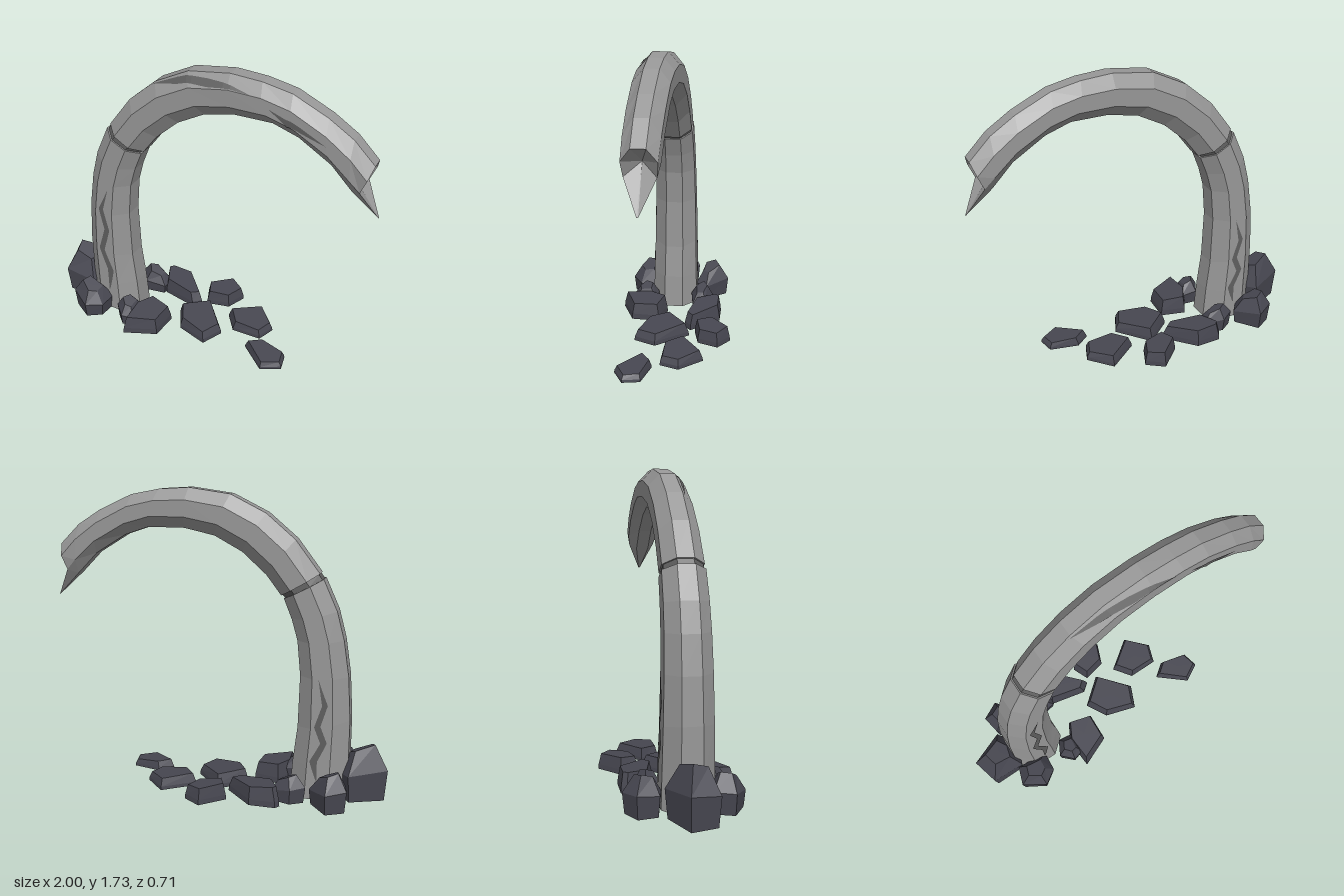
import * as THREE from 'three';

const stone = new THREE.MeshStandardMaterial({ color: 0x979797, flatShading: true });
stone.name = 'grey stone';
const crackMat = new THREE.MeshStandardMaterial({ color: 0x5e5e5e, flatShading: true, side: THREE.DoubleSide });
crackMat.name = 'crack grey';
const rockMat = new THREE.MeshStandardMaterial({ color: 0x474751, flatShading: true });
rockMat.name = 'dark rock';

const V = (x, y, z) => new THREE.Vector3(x, y, z);
const CZ = 0.033; // depth centre of the arch

function makeMesh(name, points, material) {
  const geometry = new THREE.BufferGeometry().setFromPoints(points);
  geometry.computeVertexNormals();
  const mesh = new THREE.Mesh(geometry, material);
  mesh.name = name;
  return mesh;
}

const centre = (ring) => ring.reduce((sum, p) => sum.add(p), V(0, 0, 0)).divideScalar(ring.length);

// Skin a list of rings and close both ends with fans
function loft(name, rings, material, endPoint) {
  const tris = [];
  const n = rings[0].length;
  const first = rings[0], last = rings[rings.length - 1];
  const c0 = centre(first), c1 = endPoint || centre(last);
  for (let k = 0; k < n; k++) {
    const j = (k + 1) % n;
    for (let i = 0; i < rings.length - 1; i++) {
      const [a, b, c, d] = [rings[i][k], rings[i][j], rings[i + 1][j], rings[i + 1][k]];
      tris.push(a, b, c, a, c, d);
    }
    tris.push(c0, first[j], first[k], c1, last[k], last[j]);
  }
  return makeMesh(name, tris, material);
}

// Octagonal section from its outer and inner edge points and half depth
const T = Math.SQRT2 - 1;
const OCT = [[1, T], [T, 1], [-T, 1], [-1, T], [-1, -T], [-T, -1], [T, -1], [1, -T]];
function octagon([ox, oy, ix, iy], hz, scale = 1) {
  const mx = (ox + ix) / 2, my = (oy + iy) / 2;
  const nx = (ox - ix) / 2 * scale, ny = (oy - iy) / 2 * scale;
  return OCT.map(([n, z]) => V(mx + n * nx, my + n * ny, CZ + z * hz * scale));
}

// Point on a lofted skin: s runs along the sections, k around the ring
function onSkin(rings, s, k) {
  const i = Math.min(Math.floor(s), rings.length - 2);
  const j = Math.floor(k);
  const along = (r) => r[j % 8].clone().lerp(r[(j + 1) % 8], k - j);
  const p = along(rings[i]).lerp(along(rings[i + 1]), s - i);
  const c = centre(rings[i]).lerp(centre(rings[i + 1]), s - i);
  return p.add(p.clone().sub(c).normalize().multiplyScalar(0.005));
}

// Thin crack lying on the skin; path entries are [s, k, half width]
function crack(name, rings, path) {
  const tris = [], steps = 6;
  let prev = null;
  for (let i = 0; i < path.length - 1; i++) {
    for (let q = i ? 1 : 0; q <= steps; q++) {
      const [s, k, w] = path[i].map((v, d) => v + (path[i + 1][d] - v) * q / steps);
      const cur = [onSkin(rings, s, k - w), onSkin(rings, s, k + w)];
      if (prev) tris.push(prev[0], prev[1], cur[1], prev[0], cur[1], cur[0]);
      prev = cur;
    }
  }
  return makeMesh(name, tris, crackMat);
}

// Rock from a footprint listed counter-clockwise as seen from above
function rock(name, outline, height, tall) {
  const base = outline.map(([x, z]) => V(x, 0, z));
  const c = centre(base);
  const ring = (scale, y, tilt) => base.map((p) => {
    const d = p.clone().sub(c);
    return V(c.x + d.x * scale, y - tilt * (d.x + 0.5 * d.z), c.z + d.z * scale);
  });
  const rings = tall
    ? [ring(0.9, 0, 0), ring(1, height * 0.5, 0.15), ring(0.5, height * 0.92, 0.2)]
    : [ring(1, 0, 0), ring(0.98, height * 0.3, 0), ring(0.85, height * 0.94, 0.06)];
  return loft(name, rings, rockMat);
}

export function createModel() {
  const model = new THREE.Group();
  model.name = 'brokenStoneArch';

  // Sections as outer x, y, inner x, y
  const columnPairs = [
    [-0.78, 0, -0.445, 0], [-0.778, 0.2, -0.46, 0.2], [-0.778, 0.46, -0.483, 0.4],
    [-0.762, 0.71, -0.49, 0.7], [-0.73, 0.915, -0.47, 0.9],
    [-0.687, 1.075, -0.435, 1.02], [-0.607, 1.25, -0.388, 1.134],
  ];
  const archPairs = [
    [-0.586, 1.278, -0.372, 1.15], [-0.447, 1.46, -0.286, 1.262], [-0.281, 1.6, -0.147, 1.385],
    [-0.078, 1.7, 0.013, 1.47], [0.163, 1.733, 0.19, 1.508], [0.34, 1.722, 0.404, 1.508],
    [0.505, 1.69, 0.548, 1.46], [0.7, 1.6, 0.73, 1.348], [0.837, 1.513, 0.85, 1.225],
  ];
  const column = columnPairs.map((p) => octagon(p, 0.142 - 0.011 * (p[1] + p[3])));
  const arch = archPairs.map((p, i) => octagon(p, 0.112 - 0.0025 * i));

  // Broken tip: one side of the ring, mirrored in depth
  const tip = [[0.955, 1.396, 0.037], [0.935, 1.33, 0.088], [0.902, 1.25, 0.08], [0.995, 1.085, 0.004]];
  arch.push([
    ...tip.map(([x, y, z]) => V(x, y, CZ + z)),
    ...tip.slice().reverse().map(([x, y, z]) => V(x, y, CZ - z)),
  ]);

  model.add(loft('column', column, stone));
  model.add(loft('arch', arch, stone, V(0.83, 1.31, CZ)));

  // Recessed joint between column and arch
  model.add(loft('jointGroove', [
    octagon(columnPairs[6], 0.115, 0.93), octagon(archPairs[0], 0.112, 0.93),
  ], crackMat));

  // Cracks
  const zigzag = [
    [3.85, 1.67, 0], [3.15, 1.35, 0.13], [2.6, 1.68, 0.14], [2.05, 1.35, 0.14],
    [1.45, 1.72, 0.16], [0.75, 1.55, 0.02],
  ];
  model.add(crack('frontColumnCrack', column, zigzag));
  model.add(crack('backColumnCrack', column, zigzag.map(([s, k, w]) => [s * 0.78, 7 - k, w])));
  model.add(crack('upperArchCrack', arch, [[1.9, 0.12, 0], [2.7, 0.4, 0.2], [3.5, 0.65, 0.25], [4.7, 0.97, 0]]));
  model.add(crack('lowerArchCrack', arch, [[5.2, 1.45, 0], [5.8, 1.78, 0.2], [6.3, 1.65, 0.14], [7, 1.5, 0]]));

  // Scattered rocks: footprint, height, tall shape
  const rocks = [
    [[[-1, -0.02], [-0.96, 0.14], [-0.76, 0.14], [-0.72, 0], [-0.79, -0.11]], 0.31, true],
    [[[-0.8, -0.25], [-0.78, -0.13], [-0.64, -0.1], [-0.58, -0.17], [-0.69, -0.31]], 0.21, true],
    [[[-0.83, 0.25], [-0.7, 0.33], [-0.61, 0.27], [-0.6, 0.15], [-0.79, 0.14]], 0.2, true],
    [[[-0.56, -0.17], [-0.5, -0.08], [-0.37, -0.1], [-0.36, -0.18], [-0.48, -0.22]], 0.15, true],
    [[[-0.53, 0.22], [-0.46, 0.29], [-0.39, 0.27], [-0.38, 0.14], [-0.48, 0.13]], 0.15, true],
    [[[-0.43, -0.25], [-0.37, -0.12], [-0.15, -0.07], [-0.1, -0.11], [-0.26, -0.28], [-0.41, -0.28]], 0.11],
    [[[-0.42, 0.17], [-0.41, 0.35], [-0.22, 0.27], [-0.21, 0.1], [-0.36, 0.06]], 0.115],
    [[[-0.12, -0.24], [-0.08, -0.14], [0.06, -0.17], [0.11, -0.29], [0.01, -0.36]], 0.095],
    [[[-0.19, 0.02], [-0.12, 0.15], [0.07, 0.21], [0.13, 0.08], [-0.03, -0.11]], 0.08],
    [[[0.1, -0.09], [0.18, 0.02], [0.36, 0.02], [0.4, -0.09], [0.28, -0.22]], 0.065],
    [[[0.31, 0.12], [0.47, 0.26], [0.58, 0.2], [0.56, 0.1], [0.39, 0.06]], 0.05],
  ];
  rocks.forEach(([outline, height, tall], i) => model.add(rock(`rock${i + 1}`, outline, height, tall)));

  return model;
}
